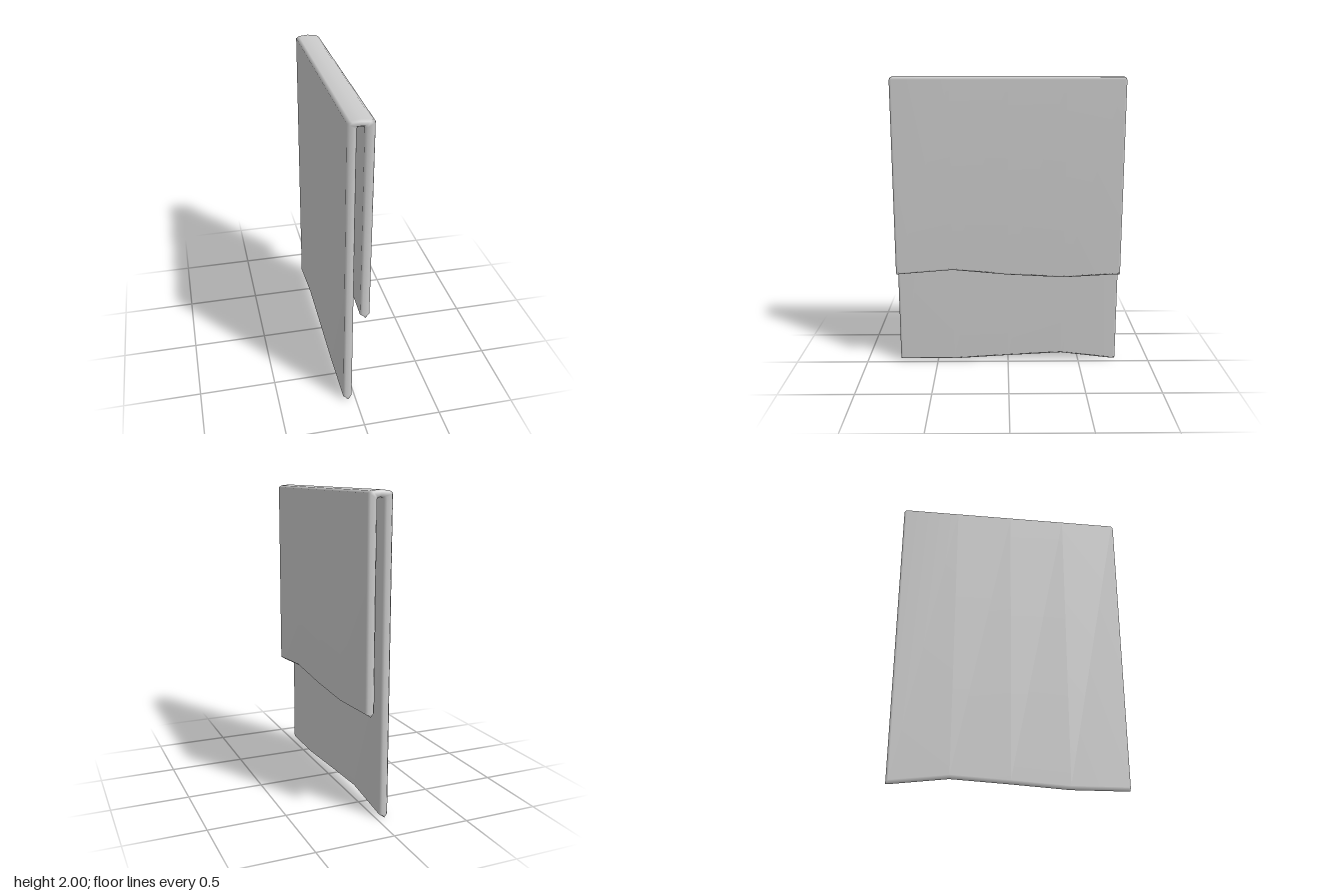
import * as THREE from 'three';

// Folded cloth draped over a rail: a hooked cross-section swept along z with wavy hems.
export function createModel() {
  const group = new THREE.Group();
  group.name = 'drapedTowel';

  // Stations along z: [z, height of long hem, height of short hem, edge inset]
  const stations = [
    [-0.765, 0.0, 0.665, 0.22],
    [-0.75, 0.0, 0.665, 0],
    [-0.38, 0.045, 0.645, 0],
    [0, 0.025, 0.665, 0],
    [0.38, 0.002, 0.7, 0],
    [0.75, 0.005, 0.67, 0],
    [0.765, 0.005, 0.67, 0.22],
  ];

  // Closed cross-section: long hem, outer face, short hem, inner face
  const section = (long, short, inset) => {
    const outer = [[-0.08, long + 0.02], [-0.08, 1.98], [-0.06, 1.994], [0, 2], [0.06, 1.994], [0.08, 1.98], [0.08, short + 0.02]];
    const inner = [[-0.024, long + 0.02], [-0.024, 1.945], [-0.018, 1.955], [0, 1.956], [0.014, 1.955], [0.02, 1.945], [0.02, short + 0.02]];
    const pull = (p, q) => p.map((v, i) => v + (q[i] - v) * inset);
    return [
      [-0.052, long],
      ...outer.map((p, i) => pull(p, inner[i])),
      [0.05, short],
      ...inner.map((p, i) => pull(p, outer[i])).reverse(),
    ];
  };

  const positions = [], index = [];
  for (const [z, long, short, inset] of stations)
    for (const [x, y] of section(long, short, inset)) positions.push(x, y, z);

  // Skin between neighbouring stations
  const n = 16, last = (stations.length - 1) * n;
  for (let k = 0; k < last; k += n)
    for (let i = 0; i < n; i++) {
      const a = k + i, b = k + (i + 1) % n;
      index.push(a, a + n, b + n, a, b + n, b);
    }

  // Selvedge ends, filled between the outer and inner faces
  const cap = (a, b, c) => index.push(a, b, c, last + a, last + c, last + b);
  for (let i = 0; i < n / 2; i++) {
    if (i < n / 2 - 1) cap(i, i + 1, n - 1 - i);
    if (i > 0) cap(i, n - 1 - i, n - i);
  }

  const geometry = new THREE.BufferGeometry();
  geometry.setAttribute('position', new THREE.Float32BufferAttribute(positions, 3));
  geometry.setIndex(index);
  geometry.computeVertexNormals();

  const cloth = new THREE.Mesh(geometry, new THREE.MeshStandardMaterial({ color: 0xcccccc }));
  cloth.name = 'cloth';
  group.add(cloth);
  return group;
}
